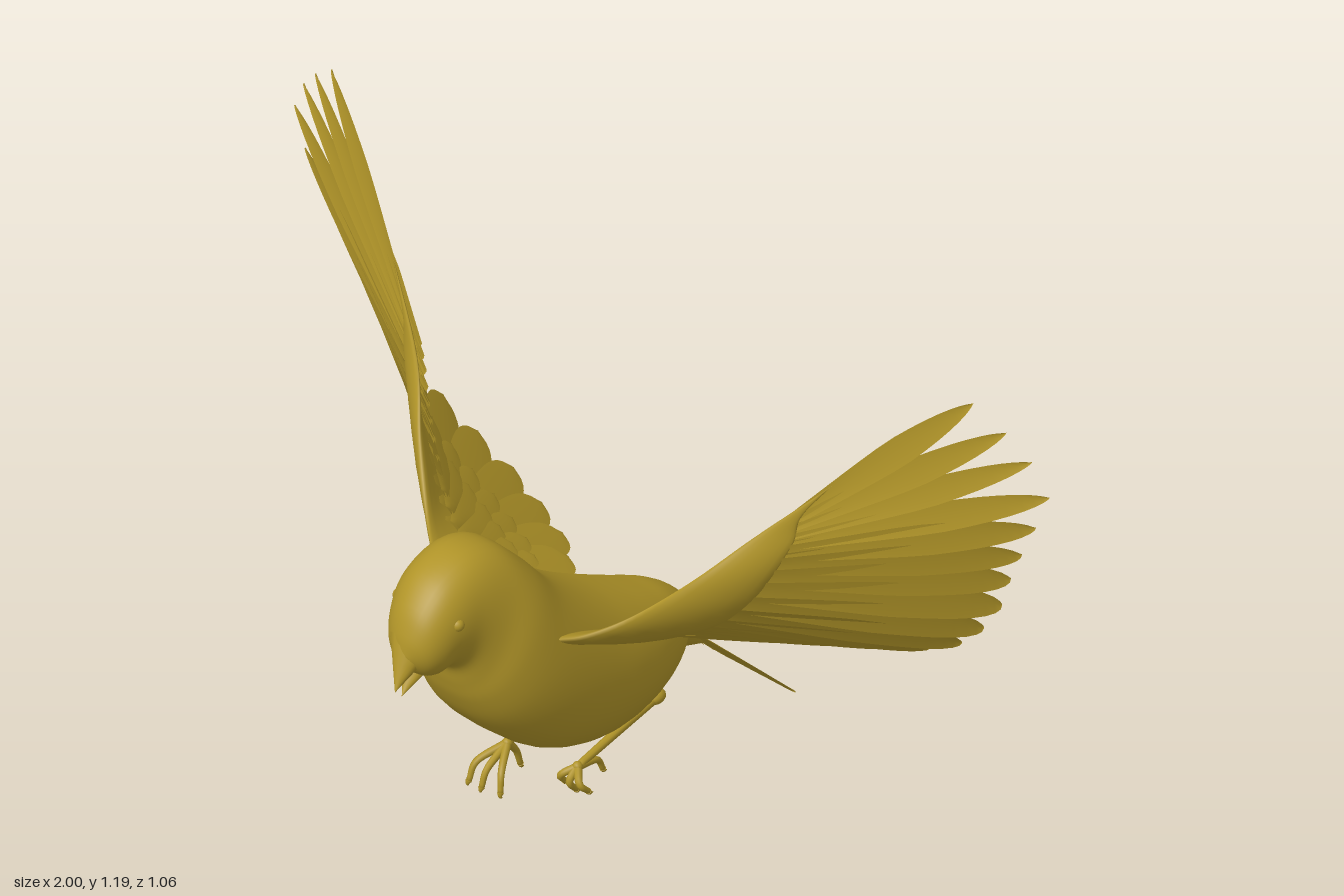
import * as THREE from 'three';

const V = (x, y, z) => new THREE.Vector3(x, y, z);
const mat = new THREE.MeshStandardMaterial({ color: 0xb09428, side: THREE.DoubleSide });
const curve = (pts) => new THREE.CatmullRomCurve3(pts.map((p) => V(...p)), false, 'catmullrom');
const up = V(0, 1, 0);

function mesh(name, geo, s = 1) {
  geo.scale(s, 1, 1);
  geo.computeVertexNormals();
  const m = new THREE.Mesh(geo, mat);
  m.name = name;
  return m;
}

// Skin over rows of points; closed rows get joined around and capped
function loft(rings, closed = true) {
  const n = rings[0].length, idx = [], pts = rings.flat();
  for (let i = 0; i < rings.length - 1; i++) {
    for (let j = 0; j < (closed ? n : n - 1); j++) {
      const k = (j + 1) % n, a = i * n;
      idx.push(a + j, a + k, a + n + j, a + k, a + n + k, a + n + j);
    }
  }
  if (closed) {
    [0, rings.length - 1].forEach((r) => {
      const c = pts.length;
      const mid = rings[r].reduce((q, p) => q.add(p), V(0, 0, 0)).divideScalar(n);
      pts.push(mid);
      for (let j = 0; j < n; j++) {
        const a = r * n + j, b = r * n + (j + 1) % n;
        idx.push(...(r ? [c, a, b] : [c, b, a]));
      }
    });
  }
  const g = new THREE.BufferGeometry().setFromPoints(pts);
  g.setIndex(idx);
  return g;
}

// Tapered tube along a smooth path
function limb(pts, r0, r1, steps = 14) {
  const c = curve(pts), f = c.computeFrenetFrames(steps), rings = [];
  for (let i = 0; i <= steps; i++) {
    const p = c.getPointAt(i / steps), r = r0 + (r1 - r0) * i / steps;
    rings.push(Array.from({ length: 8 }, (_, j) => {
      const a = j * Math.PI / 4;
      return p.clone().addScaledVector(f.normals[i], r * Math.cos(a)).addScaledVector(f.binormals[i], r * Math.sin(a));
    }));
  }
  return loft(rings);
}

// Thin feather with a raised shaft; point: 0 = blunt tip, 1 = long pointed tip
function feather(root, tip, side, normal, half, point, tilt) {
  const axis = tip.clone().sub(root).normalize();
  const w = side.clone().addScaledVector(axis, -side.dot(axis)).normalize();
  const rows = [];
  for (let i = 0; i <= 14; i++) {
    const t = Math.sin(i / 14 * Math.PI / 2);
    const grow = 0.35 + 0.65 * Math.min(1, t / 0.6);
    const edge = Math.pow(Math.max(0, 1 - Math.pow(t, 10 - 5.5 * point)), 0.5 + 0.25 * point);
    const h = half * grow * edge;
    rows.push([-1, 0, 1].map((k) => root.clone().lerp(tip, t)
      .addScaledVector(w, k * h).addScaledVector(normal, k * h * tilt + (k ? 0 : 0.003))));
  }
  return loft(rows, false);
}

function makeBody() {
  // Matching points along the back and belly, then half widths
  const tops = curve([[.012, .575, .502], [.01, .62, .492], [.006, .672, .465], [0, .72, .41], [-.003, .743, .33],
    [-.003, .724, .25], [0, .665, .185], [0, .59, .12], [0, .53, .05], [0, .475, -.03], [0, .43, -.11],
    [0, .39, -.19], [-.003, .358, -.255], [-.008, .315, -.31], [-.014, .24, -.355], [-.02, .135, -.412]]);
  const bottoms = curve([[.012, .545, .492], [.01, .518, .465], [.006, .505, .435], [0, .508, .402], [0, .487, .378],
    [0, .445, .366], [0, .40, .35], [0, .34, .315], [0, .27, .25], [0, .2, .16], [0, .158, .05],
    [0, .15, -.06], [-.003, .167, -.16], [-.008, .203, -.225], [-.014, .18, -.295], [-.02, .128, -.402]]);
  const widths = curve([.015, .05, .073, .09, .101, .118, .143, .161, .17, .171, .163, .143, .115, .082, .052, .008]
    .map((w) => [w, 0, 0]));
  const rings = [];
  for (let i = 0; i <= 75; i++) {
    const t = i / 75, a = tops.getPoint(t), b = bottoms.getPoint(t), w = widths.getPoint(t).x;
    const mid = a.clone().add(b).multiplyScalar(0.5), half = a.clone().sub(mid);
    // The trunk is a little boxier than the head and rump
    const power = 1 - 0.25 * Math.sin(Math.PI * t);
    rings.push(Array.from({ length: 40 }, (_, j) => {
      const q = j / 40 * Math.PI * 2, sin = Math.sin(q);
      return mid.clone().addScaledVector(half, Math.cos(q))
        .add(V(w * Math.sign(sin) * Math.pow(Math.abs(sin), power), 0, 0));
    }));
  }
  return mesh('body', loft(rings));
}

function makeWing(s) {
  const wing = new THREE.Group();
  wing.name = s > 0 ? 'leftWing' : 'rightWing';
  // From the hand and outermost feather inwards to the shoulder
  const tips = curve([[.85, 1.19, -.24], [.915, 1.137, -.265], [.965, 1.08, -.285], [1, 1.005, -.298], [.968, .92, -.293],
    [.925, .832, -.3], [.885, .75, -.312], [.85, .665, -.325], [.795, .58, -.333], [.73, .51, -.34], [.645, .457, -.34],
    [.55, .415, -.338], [.45, .378, -.332], [.355, .35, -.31], [.262, .343, -.268], [.185, .358, -.2]]);
  const roots = curve([[.495, .815, -.085], [.445, .75, -.055], [.385, .67, -.01], [.3, .59, .045], [.22, .525, .08], [.155, .475, .08]]);
  const lead = curve([[.58, .925, -.125], [.45, .785, -.05], [.36, .68, .04], [.27, .592, .12], [.2, .545, .175], [.14, .52, .2]]);
  const frame = (t) => {
    const root = roots.getPoint(t), tip = tips.getPoint(t);
    const side = tips.getTangent(t).negate();
    const normal = side.clone().cross(tip.clone().sub(root)).normalize();
    return { root, tip, side, normal };
  };
  // Flight feathers, slender and pointed towards the hand
  const n = 16;
  for (let i = 0; i < n; i++) {
    const t = i / (n - 1), { root, tip, side, normal } = frame(t);
    const outer = Math.min(1, Math.max(0, 1.5 - 3.2 * t));
    wing.add(mesh('flightFeather', feather(root, tip, side, normal, 0.053 - 0.021 * outer, outer, 0.12), s));
  }
  // Two rows of coverts on the upper face
  [[16, .6, .007], [16, .42, .01]].forEach(([count, reach, lift]) => {
    for (let i = 0; i < count; i++) {
      const { root, tip, side, normal } = frame(0.08 + 0.9 * i / (count - 1));
      const end = root.clone().lerp(tip, reach).addScaledVector(normal, lift);
      root.addScaledVector(normal, lift);
      wing.add(mesh('covertFeather', feather(root, end, side, normal, 0.036 - 0.006 * reach, 0, 0.12), s));
    }
  });
  // Smooth feathered arm along the leading edge, thinning out to the hand
  const rings = [];
  for (let i = 0; i <= 30; i++) {
    const t = i / 30, { root, tip, normal } = frame(t), a = lead.getPoint(t);
    const b = root.clone().lerp(tip, 0.08 + 0.24 * t), thick = 0.002 + 0.013 * Math.min(1, t * 2);
    rings.push(Array.from({ length: 16 }, (_, j) => {
      const q = j / 16 * Math.PI * 2;
      return a.clone().lerp(b, (1 - Math.cos(q)) / 2).addScaledVector(normal, thick * Math.sin(q));
    }));
  }
  wing.add(mesh('wingArm', loft(rings), s));
  return wing;
}

function makeTail() {
  const tail = new THREE.Group();
  tail.name = 'tail';
  for (let i = 0; i < 12; i++) {
    const u = i / 11 * 2 - 1, z = -.502 - .014 * u - .012 * Math.abs(u);
    const root = V(-.003 + .065 * u, .262, -.278);
    const tip = V(-.036 + .152 * u, .536 + z, z);
    tail.add(mesh('tailFeather', feather(root, tip, V(1, 0, 0), V(0, .7, -.7), 0.021, 0, u > 0 ? .1 : -.1)));
  }
  return tail;
}

// Leg with three front toes and one hind toe; each toe: [bend, tip] as offsets from the ankle
function makeLeg(name, hip, ankle, toes) {
  const leg = new THREE.Group();
  leg.name = name;
  const thigh = new THREE.SphereGeometry(0.02, 16, 12).scale(0.8, 0.8, 1.1);
  leg.add(mesh('thigh', thigh.translate(...hip)));
  const mid = hip.map((h, i) => (h + ankle[i]) / 2);
  leg.add(mesh('shank', limb([hip, mid, ankle], 0.011, 0.008)));
  leg.add(mesh('ankle', new THREE.SphereGeometry(0.011, 12, 8).translate(...ankle)));
  toes.forEach((toe) => {
    const at = (o) => ankle.map((a, i) => a + o[i]);
    const [bend, tip] = toe.map(at);
    leg.add(mesh('toe', limb([ankle, bend, tip], 0.009, 0.006)));
    const d = tip.map((v, i) => v - bend[i]);
    const claw = tip.map((v, i) => v + d[i] * 0.3 + (i === 2 ? -0.006 : 0));
    leg.add(mesh('claw', limb([tip, tip.map((v, i) => v + d[i] * 0.18), claw], 0.007, 0.001, 6)));
  });
  return leg;
}

function cone(name, base, tip, r, flat) {
  const d = tip.clone().sub(base);
  const g = new THREE.ConeGeometry(r, d.length(), 16, 4).scale(1, 1, flat);
  g.applyQuaternion(new THREE.Quaternion().setFromUnitVectors(up, d.clone().normalize()));
  const c = base.clone().add(tip).multiplyScalar(0.5);
  return mesh(name, g.translate(c.x, c.y, c.z));
}

export function createModel() {
  const bird = new THREE.Group();
  bird.name = 'bird';
  bird.add(makeBody(), makeTail());
  // Open beak
  bird.add(cone('upperBeak', V(.006, .592, .46), V(.02, .508, .53), .05, .75));
  bird.add(cone('lowerBeak', V(.006, .555, .435), V(.018, .487, .508), .042, .6));
  [1, -1].forEach((s) => {
    const eye = new THREE.SphereGeometry(0.014, 16, 12);
    bird.add(mesh('eye', eye.translate(s * 0.077 + 0.002, 0.637, 0.412)));
    bird.add(makeWing(s));
  });
  // Right foot reaches down, left foot is curled
  bird.add(makeLeg('rightLeg', [-.085, .168, -.15], [-.11, .085, .06], [
    [[-.03, -.028, .055], [-.035, -.068, .073]], [[0, -.032, .058], [0, -.068, .075]],
    [[.03, -.03, .05], [.04, -.068, .064]], [[0, -.03, -.025], [0, -.068, -.038]]]));
  bird.add(makeLeg('leftLeg', [.085, .174, -.16], [.09, .13, .075], [
    [[-.025, -.02, .022], [-.03, -.046, .004]], [[0, -.024, .024], [0, -.052, .004]],
    [[.025, -.02, .022], [.03, -.044, .002]], [[0, -.012, -.055], [0, -.042, -.073]]]));
  return bird;
}
